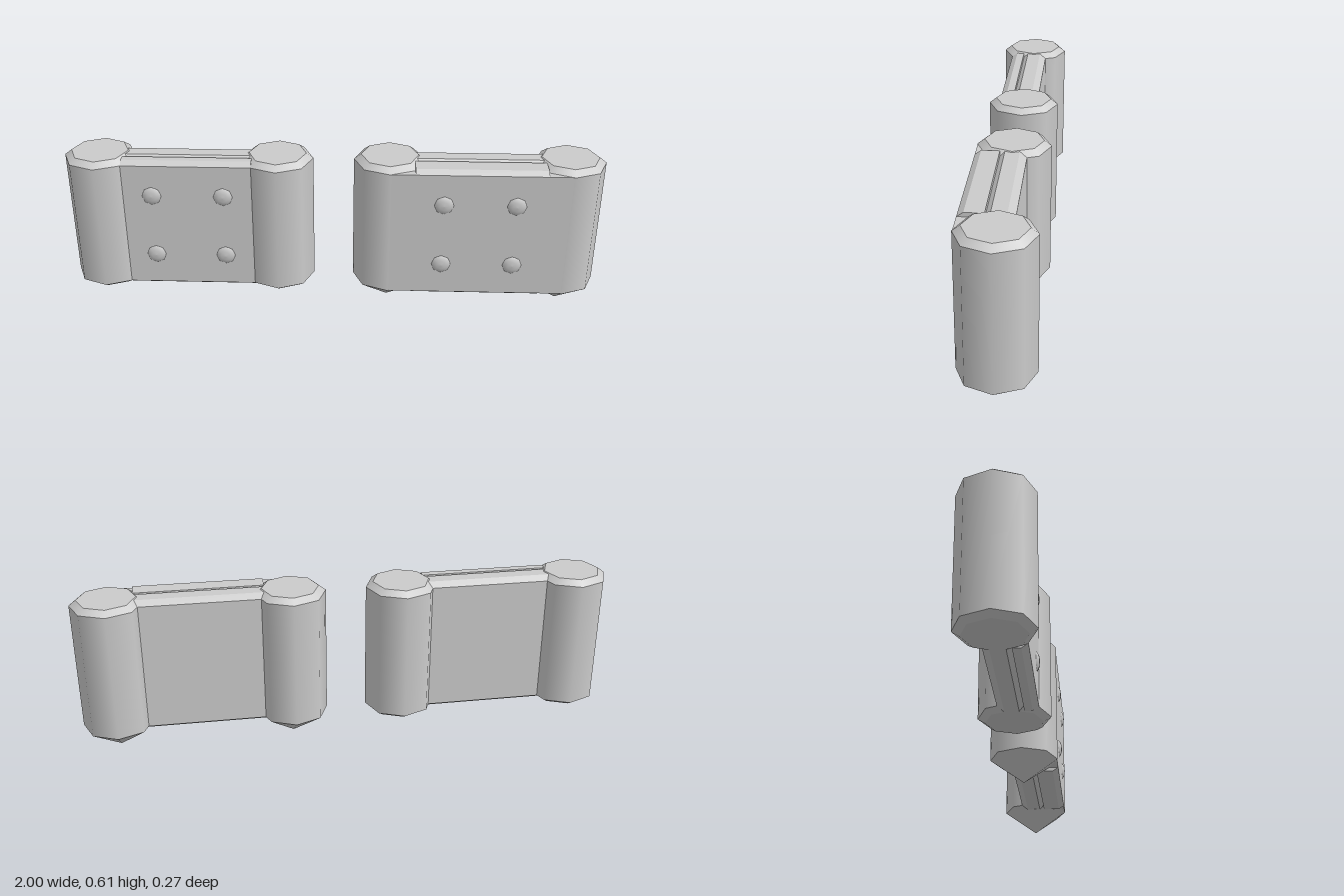
import * as THREE from 'three';

const material = new THREE.MeshStandardMaterial({ color: 0xcccccc });
const LOW = 0.095, HIGH = 0.585, BEVEL = 0.02, RADIUS = 0.132, POST_OFFSET = 0.331;

function add(parent, name, geometry, x = 0, y = 0, z = 0) {
  const mesh = new THREE.Mesh(geometry, material);
  mesh.name = name;
  mesh.position.set(x, y, z);
  parent.add(mesh);
  return mesh;
}

// Slab running along x, with chamfered long edges at top and bottom
function slab(width, back, front, insetBack, insetFront, rise) {
  const shape = new THREE.Shape([
    [back, LOW], [back + insetBack, LOW - rise], [front - insetFront, LOW - rise], [front, LOW],
    [front, HIGH], [front - insetFront, HIGH + rise], [back + insetBack, HIGH + rise], [back, HIGH],
  ].map(([z, y]) => new THREE.Vector2(z, y)));
  const geometry = new THREE.ExtrudeGeometry(shape, { depth: width, bevelEnabled: false });
  geometry.translate(0, 0, -width / 2);
  geometry.rotateY(-Math.PI / 2);
  return geometry;
}

// Eight-sided post with a chamfered top and a chamfered or pointed foot
function post(x, pointed) {
  const group = new THREE.Group();
  group.name = 'post';
  group.position.set(x, 0, -0.003);
  add(group, 'postShaft', new THREE.CylinderGeometry(RADIUS, RADIUS, HIGH - LOW, 8, 1, true), 0, (HIGH + LOW) / 2);
  add(group, 'postCap', new THREE.CylinderGeometry(0.106, RADIUS, BEVEL, 8), 0, HIGH + BEVEL / 2);
  if (pointed) {
    add(group, 'postSpike', new THREE.CylinderGeometry(RADIUS, 0, LOW, 8), 0, LOW / 2);
  } else {
    add(group, 'postFoot', new THREE.CylinderGeometry(RADIUS, 0.106, 0.017, 8), 0, LOW - 0.0085);
  }
  return group;
}

// Shallow domed stud facing +z
function studGeometry() {
  const profile = [[0.037, 0], [0.03, 0.006], [0.017, 0.011], [0, 0.0125]].reverse();
  const geometry = new THREE.LatheGeometry(profile.map(([r, h]) => new THREE.Vector2(r, -h)), 8);
  geometry.rotateX(-Math.PI / 2);
  return geometry;
}

function unit(name, x, panelFront, pointed) {
  const group = new THREE.Group();
  group.name = name;
  group.position.x = x;
  for (const side of [-1, 1]) group.add(post(side * POST_OFFSET, pointed));

  // Connecting wall and the panel fixed to its front
  add(group, 'wall', slab(0.56, -0.055, 0.042, 0.025, 0.02, 0.017));
  add(group, 'panel', slab(0.478, 0.038, panelFront, 0.002, 0.022, 0.015));
  // A flush panel reaches across to the front edges of the posts
  if (pointed) add(group, 'panelFlange', slab(2 * POST_OFFSET, 0.06, panelFront, 0, 0, 0));

  for (const sx of [-0.132, 0.132]) {
    for (const y of [0.217, 0.464]) add(group, 'stud', studGeometry(), sx, y, panelFront - 0.001);
  }
  return group;
}

export function createModel() {
  const model = new THREE.Group();
  model.name = 'barrierPair';
  model.add(unit('flatFootedBarrier', -0.538, 0.091, false));
  model.add(unit('spikedBarrier', 0.538, 0.127, true));
  // Lathe studs are thin shells, so show both faces
  material.side = THREE.DoubleSide;
  return model;
}
